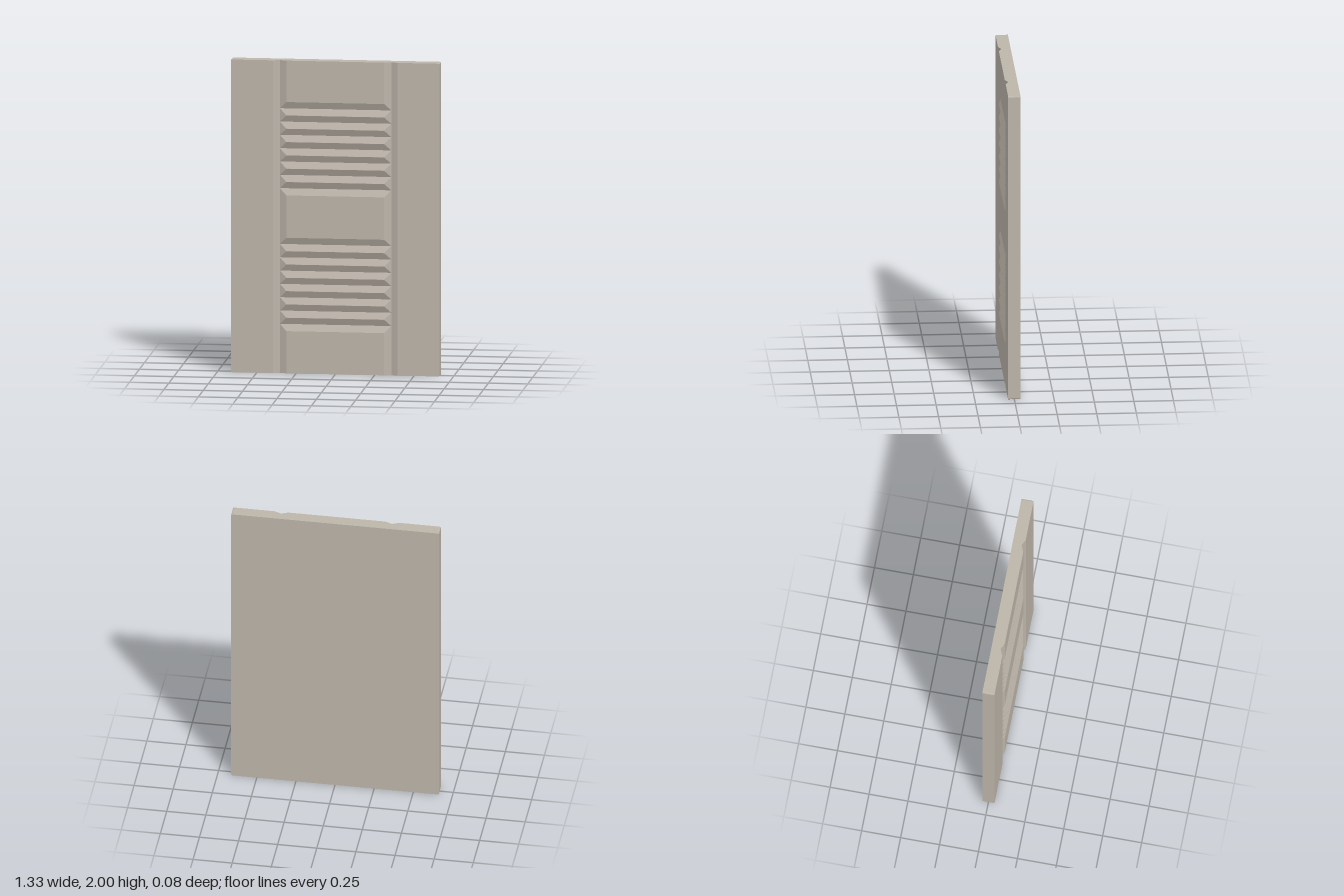
import * as THREE from 'three';

const W = 0.664, H = 2, BACK = -0.039, FRONT = 0.039, VALLEY = 0.02;
const GROOVE = 0.354, BEVEL = 0.043, R = 0.009;

const material = new THREE.MeshStandardMaterial({ color: 0xbdb5aa, flatShading: true });

function addMesh(parent, name, geometry) {
  const mesh = new THREE.Mesh(geometry, material);
  mesh.name = name;
  parent.add(mesh);
  return mesh;
}

// Rectangle from x0 to x1 with rounded corners on the right, optionally on the left
function outline(x0, x1, roundLeft) {
  const s = new THREE.Shape();
  const r = roundLeft ? R : 0;
  s.moveTo(x0 + r, 0);
  s.lineTo(x1 - R, 0);
  s.quadraticCurveTo(x1, 0, x1, R);
  s.lineTo(x1, H - R);
  s.quadraticCurveTo(x1, H, x1 - R, H);
  s.lineTo(x0 + r, H);
  if (roundLeft) {
    s.quadraticCurveTo(x0, H, x0, H - R);
    s.lineTo(x0, R);
    s.quadraticCurveTo(x0, 0, R + x0, 0);
  }
  return s;
}

function extrude(shape, z0, z1) {
  const g = new THREE.ExtrudeGeometry(shape, { depth: z1 - z0, bevelEnabled: false, curveSegments: 4 });
  return g.translate(0, 0, z0);
}

// Raised field between the grooves, its front face inset by the given bevels
function raisedField(y0, y1, bottomBevel, topBevel) {
  const g = new THREE.BoxGeometry(2 * GROOVE, y1 - y0, FRONT - VALLEY).toNonIndexed();
  g.translate(0, (y0 + y1) / 2, (FRONT + VALLEY) / 2);
  const p = g.attributes.position, mid = (y0 + y1) / 2, zMid = (FRONT + VALLEY) / 2;
  for (let i = 0; i < p.count; i++) {
    if (p.getZ(i) < zMid) continue;
    p.setX(i, Math.sign(p.getX(i)) * (GROOVE - BEVEL));
    p.setY(i, p.getY(i) > mid ? y1 - topBevel : y0 + bottomBevel);
  }
  g.computeVertexNormals();
  return g;
}

export function createModel() {
  const group = new THREE.Group();
  group.name = 'louvredPanel';

  // Backing slab up to the bottom of the grooves
  addMesh(group, 'backSlab', extrude(outline(-W, W, true), BACK, VALLEY));

  // Side stiles, sloping down into the vertical grooves
  for (const side of [1, -1]) {
    const g = extrude(outline(GROOVE, W, false), VALLEY, FRONT);
    const p = g.attributes.position;
    for (let i = 0; i < p.count; i++) {
      if (p.getX(i) < GROOVE + 0.001 && p.getZ(i) > FRONT - 0.001) p.setX(i, GROOVE + BEVEL);
    }
    g.computeVertexNormals();
    // Turning about z keeps the front forward and swaps left for right
    if (side < 0) g.rotateZ(Math.PI).translate(0, H, 0);
    addMesh(group, side > 0 ? 'leftStile' : 'rightStile', g);
  }

  // Flat rails below, between and above the louvres
  const lower = [0.313, 0.824], upper = [1.181, 1.692];
  addMesh(group, 'bottomRail', raisedField(0, lower[0], 0, BEVEL));
  addMesh(group, 'middleRail', raisedField(lower[1], upper[0], BEVEL, BEVEL));
  addMesh(group, 'topRail', raisedField(upper[1], H, BEVEL, 0));

  // Two banks of six hipped louvre ridges
  for (const [name, [y0, y1]] of [['lowerLouvres', lower], ['upperLouvres', upper]]) {
    const bank = new THREE.Group();
    bank.name = name;
    const pitch = (y1 - y0) / 6, slope = pitch / 2 - 0.0004;
    for (let i = 0; i < 6; i++) {
      addMesh(bank, 'louvre', raisedField(y0 + i * pitch, y0 + (i + 1) * pitch, slope, slope));
    }
    group.add(bank);
  }
  return group;
}
